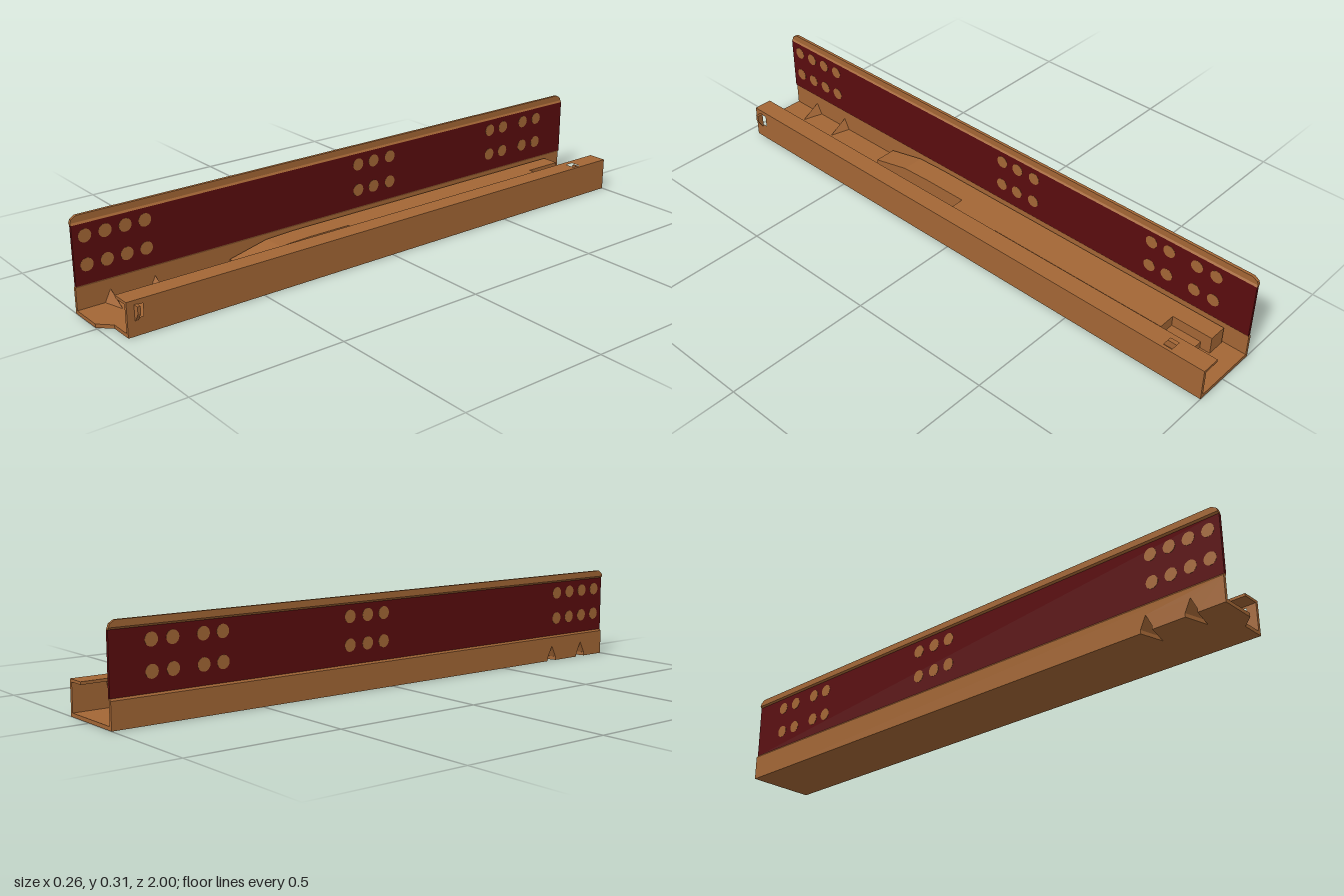
import * as THREE from 'three';

export function createModel() {
  const model = new THREE.Group();
  const brown = new THREE.MeshStandardMaterial({ color: 0xa36635 });
  brown.name = 'brown metal';
  const red = new THREE.MeshStandardMaterial({ color: 0x5a0c0e });
  red.name = 'dark red';
  const brownThin = new THREE.MeshStandardMaterial({ color: 0xa36635, side: THREE.DoubleSide });
  brownThin.name = 'brown thin sheet';

  const add = (name, geo, mat = brown) => {
    const mesh = new THREE.Mesh(geo, mat);
    mesh.name = name;
    model.add(mesh);
    return mesh;
  };
  const extrude = (pts, depth, holes = []) => {
    const shape = new THREE.Shape(pts.map(p => new THREE.Vector2(...p)));
    for (const h of holes) shape.holes.push(new THREE.Path(h.map(p => new THREE.Vector2(...p))));
    return new THREE.ExtrudeGeometry(shape, { depth, bevelEnabled: false });
  };
  // outline in (x, y), swept along z
  const along = (pts, z0, z1) => extrude(pts, z1 - z0).translate(0, 0, z0);
  // outline in (x, z), raised along y
  const plan = (pts, y0, y1, holes = []) => {
    const flip = l => l.map(([x, z]) => [x, -z]);
    return extrude(flip(pts), y1 - y0, holes.map(flip)).rotateX(-Math.PI / 2).translate(0, y0, 0);
  };
  // outline in (z, y), swept along x
  const side = (pts, x0, x1, holes = []) => {
    const flip = l => l.map(([z, y]) => [-z, y]);
    return extrude(flip(pts), x1 - x0, holes.map(flip)).rotateY(Math.PI / 2).translate(x0, 0, 0);
  };
  const rect = (a0, a1, b0, b1) => [[a0, b0], [a1, b0], [a1, b1], [a0, b1]];
  const box = (name, x0, x1, y0, y1, z0, z1) => add(name, along(rect(x0, x1, y0, y1), z0, z1));

  // Floor with chamfered front and notches under the gussets
  const gussets = [0.74, 0.89], half = 0.02;
  const floor = [[-0.13, -1], [0.11, -1], [0.11, 0.96], [0.03, 0.96], [-0.01, 1], [-0.13, 1]];
  for (const z of [...gussets].reverse()) floor.push([-0.13, z + half], [-0.05, z], [-0.13, z - half]);
  add('floor', plan(floor, 0, 0.012));

  // Lower part of the tall wall, notched at the gussets
  const lower = [[-1, 0], [-1, 0.083], [1, 0.083], [1, 0]];
  for (const z of [...gussets].reverse()) lower.push([z + half, 0], [z + half, 0.012], [z, 0.052], [z - half, 0.012], [z - half, 0]);
  add('lowerWall', side(lower, -0.13, -0.12));

  // Stepped joints, coloured web and rounded top strip
  add('lowerJoint', along([[-0.13, 0.083], [-0.12, 0.083], [-0.116, 0.089], [-0.125, 0.089]], -1, 1));
  add('redWeb', along(rect(-0.125, -0.116, 0.089, 0.278), -1, 1), red);
  add('upperJoint', along([[-0.125, 0.278], [-0.116, 0.278], [-0.12, 0.284], [-0.13, 0.284]], -1, 1));
  add('topStrip', side([[-1, 0.284], [1, 0.284], [0.996, 0.295], [0.98, 0.305], [-0.98, 0.305], [-0.996, 0.295]], -0.13, -0.12));

  // Round spots on both faces of the web
  const spots = [0.96, 0.895, 0.83, 0.765, -0.035, -0.1, -0.17, -0.635, -0.7, -0.8, -0.868];
  for (const z of spots) for (const y of [0.15, 0.24]) {
    const disc = new THREE.CylinderGeometry(0.021, 0.021, 0.0105, 20).rotateZ(Math.PI / 2);
    add('roundSpot', disc.translate(-0.1205, y, z));
  }

  // Pressed triangular gussets
  for (const z of gussets) {
    const top = [-0.12, 0.052, z], tip = [-0.05, 0.012, z];
    const geo = new THREE.BufferGeometry();
    geo.setAttribute('position', new THREE.Float32BufferAttribute([
      ...top, ...[-0.12, 0.012, z + half], ...tip,
      ...top, ...tip, ...[-0.12, 0.012, z - half]], 3));
    geo.computeVertexNormals();
    add('gusset', geo, brownThin);
  }

  // Short wall with hook opening, and inward lip with tab opening
  add('shortWall', side(rect(-1, 0.96, 0, 0.11), 0.1, 0.11, [rect(0.908, 0.928, 0.055, 0.095)]));
  add('lip', plan(rect(0.045, 0.11, -1, 0.96), 0.102, 0.111, [rect(0.064, 0.099, -0.88, -0.85)]));
  box('lipTab', 0.066, 0.1, 0.08, 0.104, -0.89, -0.88);
  add('sideHook', along([[0.109, 0.048], [0.113, 0.048], [0.13, 0.075], [0.13, 0.098], [0.109, 0.098]], 0.926, 0.936));

  // Inner slide mechanism
  add('slideBlock', plan([[-0.112, -0.92], [-0.05, -0.92], [-0.05, -0.78], [0.01, -0.78], [0.01, -0.12],
    [0.035, -0.12], [0.035, 0.07], [-0.112, 0.07]], 0.014, 0.074));
  box('rearStep', -0.05, 0.01, 0.014, 0.038, -0.885, -0.78);
  box('sideStep', 0.01, 0.052, 0.014, 0.038, -0.28, -0.21);
  add('rampArm', side([[0.07, 0.014], [0.48, 0.014], [0.48, 0.038], [0.34, 0.07], [0.23, 0.074], [0.07, 0.074]], -0.112, -0.035));

  return model;
}
